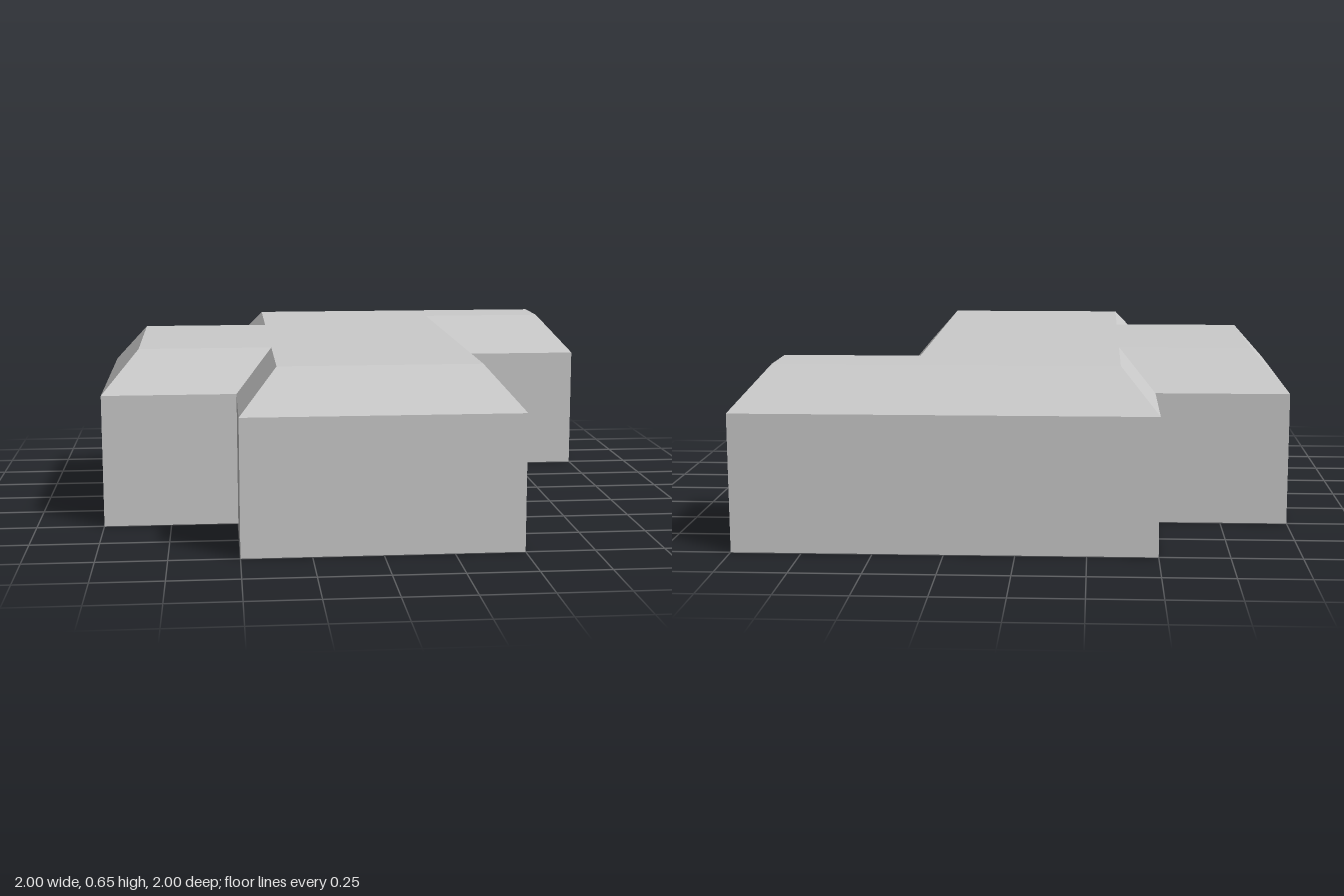
import * as THREE from 'three';

const INSET = 0.136, EAVES = 0.495, TOP = 0.65;

// Footprint corners [x, z], clockwise seen from above
const footprint = [
  [-0.5, -1], [1, -1], [1, -0.5], [0.5, -0.5], [0.5, 1],
  [-0.5, 1], [-0.5, 0.5], [-1, 0.5], [-1, -0.5], [-0.5, -0.5],
];

// Moves every edge of a right-angled outline inwards by d
function insetOutline(points, d) {
  const n = points.length;
  const inward = points.map(([x, z], i) => {
    const [nx, nz] = points[(i + 1) % n];
    return [-Math.sign(nz - z), Math.sign(nx - x)];
  });
  return points.map(([x, z], i) => {
    const a = inward[(i + n - 1) % n], b = inward[i];
    return [x + d * (a[0] + b[0]), z + d * (a[1] + b[1])];
  });
}

function toMesh(name, positions, material) {
  const geometry = new THREE.BufferGeometry();
  geometry.setAttribute('position', new THREE.Float32BufferAttribute(positions, 3));
  geometry.computeVertexNormals();
  const mesh = new THREE.Mesh(geometry, material);
  mesh.name = name;
  return mesh;
}

// Band of quads between two outlines at different heights
function band(lower, y0, upper, y1) {
  const out = [];
  lower.forEach((p, i) => {
    const j = (i + 1) % lower.length;
    const a = [p[0], y0, p[1]], b = [lower[j][0], y0, lower[j][1]];
    const c = [upper[j][0], y1, upper[j][1]], d = [upper[i][0], y1, upper[i][1]];
    out.push(...a, ...d, ...c, ...a, ...c, ...b);
  });
  return out;
}

// Flat face filling an outline, facing up or down
function cap(points, y, up) {
  const flat = points.map(([x, z]) => new THREE.Vector2(x, -z));
  const out = [];
  for (const face of THREE.ShapeUtils.triangulateShape(flat, [])) {
    const tri = face.map((i) => flat[i]);
    if ((THREE.ShapeUtils.area(tri) > 0) !== up) tri.reverse();
    tri.forEach((v) => out.push(v.x, y, -v.y));
  }
  return out;
}

export function createModel() {
  const group = new THREE.Group();
  group.name = 'bevelledBlock';
  const material = new THREE.MeshStandardMaterial({ color: 0xcccccc, flatShading: true });
  const roofLine = insetOutline(footprint, INSET);
  group.add(
    toMesh('walls', band(footprint, 0, footprint, EAVES), material),
    toMesh('slopedEdge', band(footprint, EAVES, roofLine, TOP), material),
    toMesh('topFace', cap(roofLine, TOP, true), material),
    toMesh('underside', cap(footprint, 0, false), material),
  );
  return group;
}
